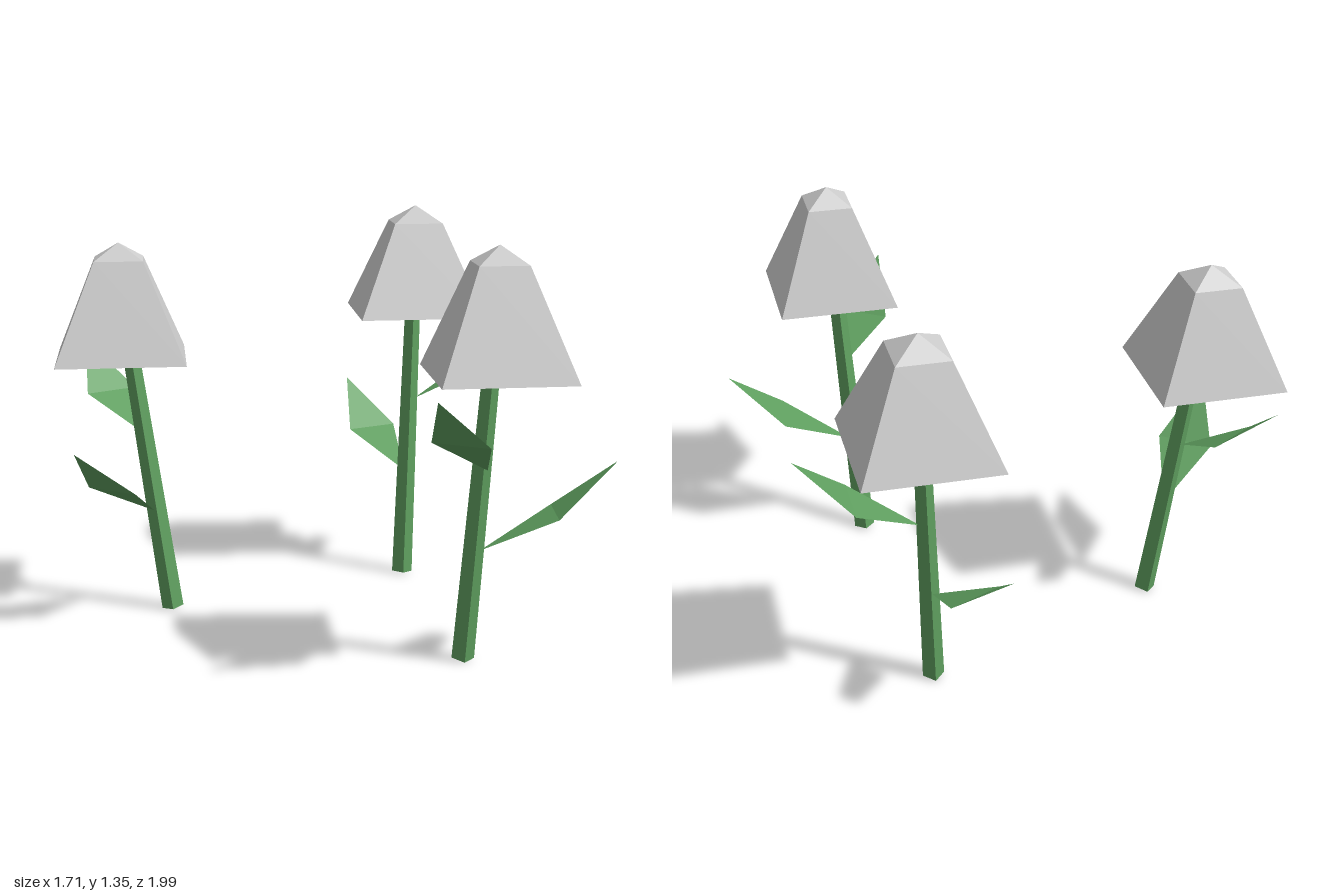
import * as THREE from 'three';

const petalMat = new THREE.MeshStandardMaterial({ color: 0xcccccc, flatShading: true, side: THREE.DoubleSide });
const greenMat = new THREE.MeshStandardMaterial({ color: 0x5f9f5f, flatShading: true, side: THREE.DoubleSide });

// Stem foot (x, z); head centre (x, z), rim height, shoulder height, apex height,
// rim and shoulder radii; leaves as [base, tip].
const flowers = [
  { foot: [-0.197, 0.555], head: [-0.24, 0.70], y: [0.947, 1.285, 1.34], r: [0.291, 0.108],
    leaves: [[[-0.20, 0.37, 0.614], [0.075, 0.657, 0.943]], [[-0.228, 0.642, 0.66], [-0.609, 0.927, 0.742]]] },
  { foot: [0.43, -0.155], head: [0.54, -0.183], y: [0.967, 1.293, 1.352], r: [0.314, 0.122],
    leaves: [[[0.503, 0.647, -0.158], [0.784, 0.936, 0.122]], [[0.48, 0.376, -0.185], [0.631, 0.658, -0.575]]] },
  { foot: [-0.395, -0.537], head: [-0.49, -0.657], y: [0.888, 1.22, 1.275], r: [0.304, 0.115],
    leaves: [[[-0.439, 0.353, -0.57], [-0.857, 0.638, -0.507]], [[-0.425, 0.615, -0.625], [-0.338, 0.89, -0.995]]] },
];

// Tapered square stem running up into the hollow head
function stem(f) {
  const a = new THREE.Vector3(f.foot[0], 0.003, f.foot[1]);
  const b = new THREE.Vector3(f.head[0], f.y[2] - 0.14, f.head[1]);
  const dir = b.clone().sub(a);
  const geo = new THREE.CylinderGeometry(0.018 * Math.SQRT2, 0.026 * Math.SQRT2, dir.length(), 4).rotateY(Math.PI / 4);
  const mesh = new THREE.Mesh(geo, greenMat);
  mesh.position.copy(a).add(b).multiplyScalar(0.5);
  mesh.quaternion.setFromUnitVectors(new THREE.Vector3(0, 1, 0), dir.normalize());
  mesh.name = 'stem';
  return mesh;
}

// Four-sided bell, open underneath, with a low pointed cap
function head(f) {
  const profile = [
    new THREE.Vector2(f.r[0], f.y[0]),
    new THREE.Vector2(f.r[1], f.y[1]),
    new THREE.Vector2(0, f.y[2]),
  ];
  const mesh = new THREE.Mesh(new THREE.LatheGeometry(profile, 4), petalMat);
  mesh.position.set(f.head[0], 0, f.head[1]);
  mesh.name = 'flowerHead';
  return mesh;
}

// Kite-shaped leaf, slightly bent upward at its widest line
function leaf([base, tip]) {
  const a = new THREE.Vector3(...base), t = new THREE.Vector3(...tip);
  const d = t.clone().sub(a);
  const mid = a.clone().add(new THREE.Vector3(d.x * 0.55, d.y * 0.43, d.z * 0.55));
  const side = new THREE.Vector3(d.z, 0, -d.x).setLength(0.096);
  const l = mid.clone().add(side), r = mid.clone().sub(side);
  const geo = new THREE.BufferGeometry().setFromPoints([a, l, r, r, l, t]);
  geo.computeVertexNormals();
  // keep the front face looking up
  if (geo.attributes.normal.getY(0) < 0) {
    geo.setFromPoints([a, r, l, l, r, t]);
    geo.computeVertexNormals();
  }
  const mesh = new THREE.Mesh(geo, greenMat);
  mesh.name = 'leaf';
  return mesh;
}

export function createModel() {
  const model = new THREE.Group();
  model.name = 'flowers';
  for (const f of flowers) {
    const flower = new THREE.Group();
    flower.name = 'flower';
    flower.add(stem(f), head(f), ...f.leaves.map(leaf));
    model.add(flower);
  }
  return model;
}
